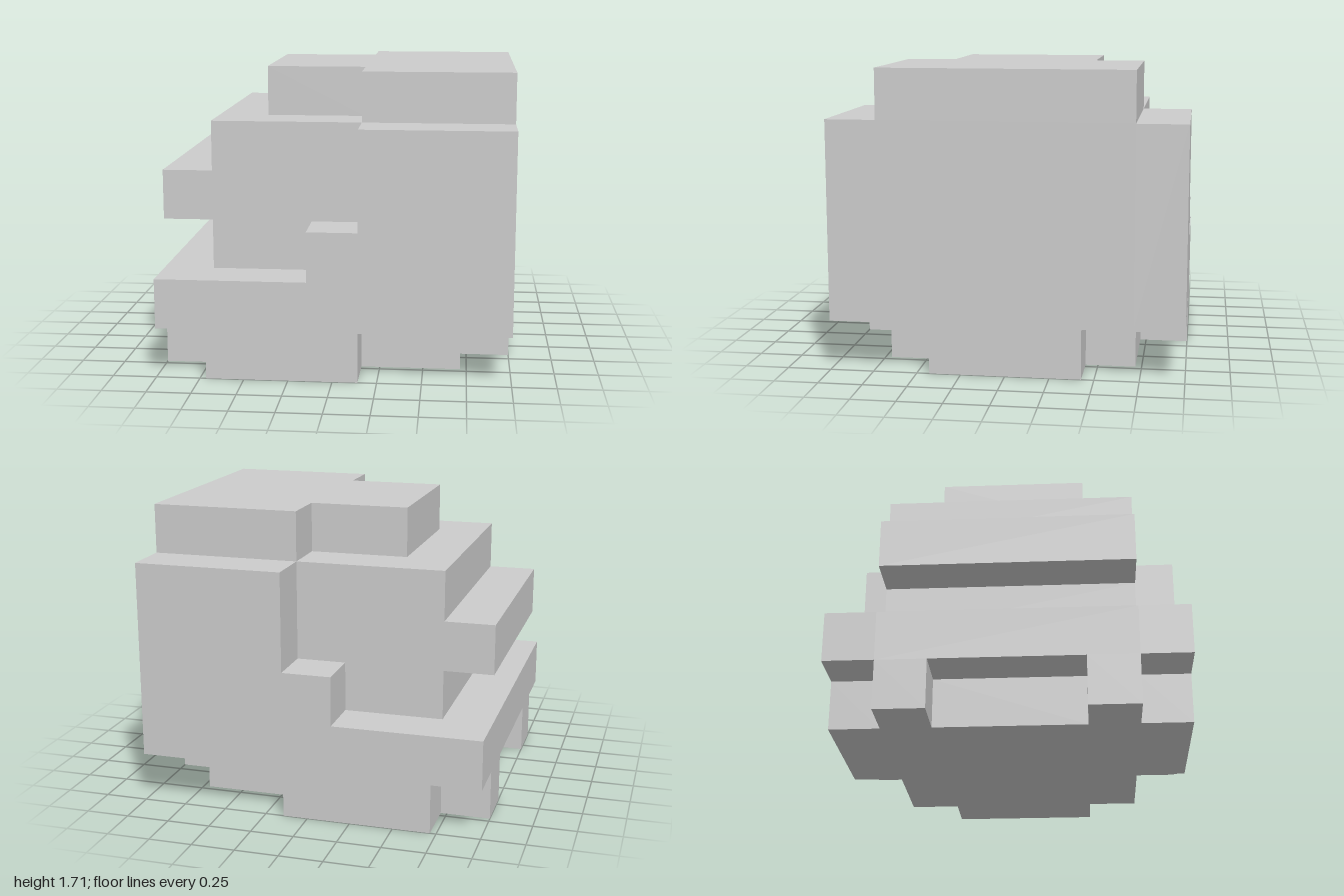
import * as THREE from 'three';

const U = 2 / 7; // edge of one block; the model is 7 blocks wide and deep

export function createModel() {
  const model = new THREE.Group();
  const material = new THREE.MeshStandardMaterial({ color: 0xcccccc, flatShading: true });

  const extrude = (points, depth) => new THREE.ExtrudeGeometry(
    new THREE.Shape(points.map(([a, b]) => new THREE.Vector2(a * U, b * U))),
    { depth: depth * U, bevelEnabled: false });

  const add = (name, geometry, x, y, z) => {
    const mesh = new THREE.Mesh(geometry, material);
    mesh.name = name;
    mesh.position.set(x * U, y * U, z * U);
    model.add(mesh);
  };

  // Side profile (x, y) extruded along z, starting at z
  const addSlab = (name, profile, z, depth) => add(name, extrude(profile, depth), 0, 0, z);

  // Half plan (x, z) mirrored in z, one block high, starting at y
  const addLayer = (name, half, y) => {
    const plan = [...half, ...half.map(([x, z]) => [x, -z]).reverse()];
    add(name, extrude(plan, 1).rotateX(-Math.PI / 2), 0, y, 0);
  };

  // Stepped underside with its corner feet
  addLayer('underside', [
    [3.5, 1.5], [2.5, 1.5], [2.5, 2.5], [0.5, 2.5], [0.5, 3.5],
    [-2.5, 3.5], [-2.5, 2.5], [-3.5, 2.5], [-3.5, 1.5], [-2.5, 1.5],
  ], 0);

  // Core with the ridge and the slot beneath it
  addSlab('core', [
    [3.5, 1], [3.5, 5], [-2.5, 5], [-2.5, 4], [-3.5, 4],
    [-3.5, 3], [-2.5, 3], [-2.5, 2], [-3.5, 2], [-3.5, 1],
  ], -2.5, 5);

  // Stepped walls on the front and back
  const wall = [
    [3.5, 1], [3.5, 5], [0.5, 5], [0.5, 3],
    [-0.5, 3], [-0.5, 2], [-3.5, 2], [-3.5, 1],
  ];
  addSlab('frontWall', wall, 2.5, 1);
  addSlab('backWall', wall, -3.5, 1);

  // Cap on top
  addLayer('cap', [[3.5, 2.5], [0.5, 2.5], [0.5, 1.5], [-1.5, 1.5]], 5);

  return model;
}
